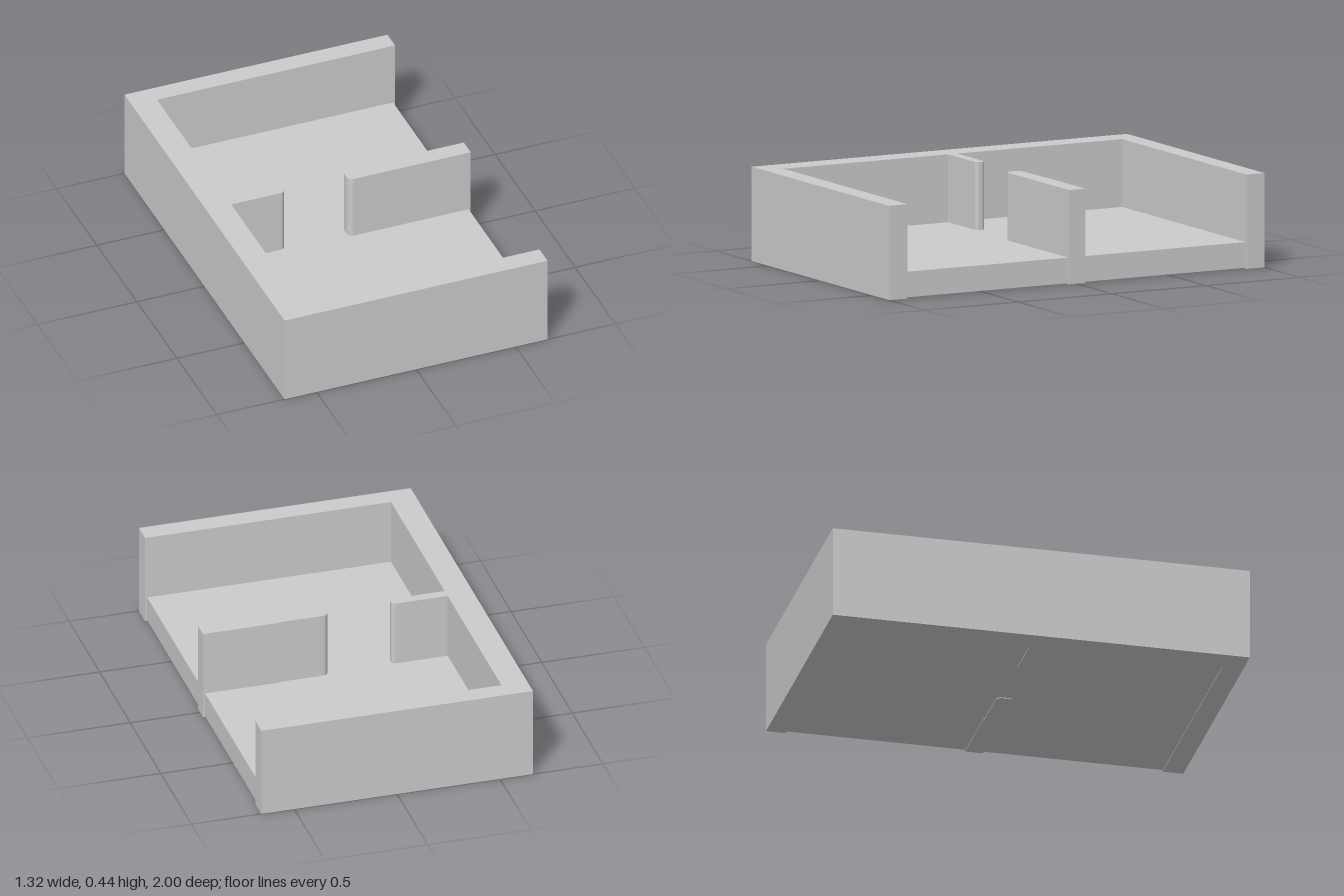
import * as THREE from 'three';

const H = 0.445;
const material = new THREE.MeshStandardMaterial({ color: 0xcccccc, flatShading: true });

// Extrudes a plan outline given as [x, z] pairs up to the wall height
function wall(name, plan) {
  const shape = new THREE.Shape(plan.map(([x, z]) => new THREE.Vector2(x, -z)));
  const geometry = new THREE.ExtrudeGeometry(shape, { depth: H, bevelEnabled: false });
  geometry.rotateX(-Math.PI / 2);
  const mesh = new THREE.Mesh(geometry, material);
  mesh.name = name;
  return mesh;
}

// Quarter-round corner in plan, from angle a0 to a1
function corner(cx, cz, r, a0, a1, steps = 5) {
  return Array.from({ length: steps + 1 }, (_, i) => {
    const a = a0 + ((a1 - a0) * i) / steps;
    return [cx + r * Math.cos(a), cz + r * Math.sin(a)];
  });
}

export function createModel() {
  const group = new THREE.Group();
  group.name = 'openTray';
  const q = Math.PI / 2;

  // Floor slab, set back slightly from the open side
  const floor = new THREE.Mesh(new THREE.BoxGeometry(1.19, 0.121, 1.81), material);
  floor.position.set(0.055, 0.0645, 0);
  floor.name = 'floor';
  group.add(floor);

  // Outer walls on three sides, with the short stub partition
  group.add(wall('outerWalls', [
    [0.66, -1], [-0.66, -1], [-0.66, 1], [0.66, 1], [0.66, 0.9], [-0.535, 0.9],
    [-0.535, 0.022],
    ...corner(-0.283, 0.004, 0.018, q, 0),
    ...corner(-0.283, -0.008, 0.018, 0, -q),
    [-0.535, -0.026], [-0.535, -0.905], [0.66, -0.905],
  ]));

  // Long partition with a rounded inner end and a slightly thicker outer part
  group.add(wall('longPartition', [
    [0.66, -0.046], [0.29, -0.046], [0.29, -0.041],
    ...corner(0.075, -0.013, 0.028, -q, -2 * q),
    ...corner(0.075, 0.013, 0.028, 2 * q, q),
    [0.66, 0.04],
  ]));

  return group;
}
